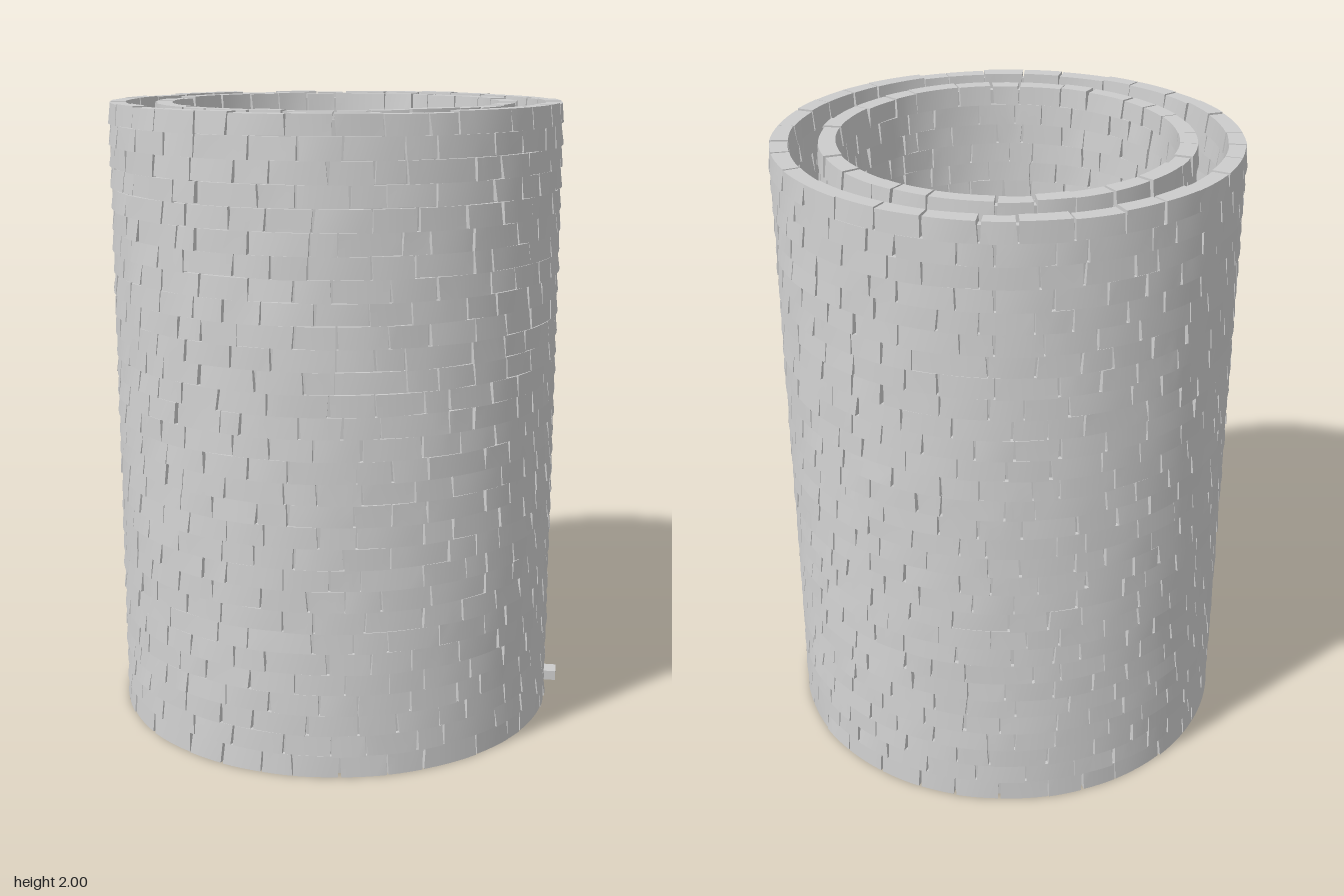
import * as THREE from 'three';
import { mergeGeometries, toCreasedNormals } from 'three/addons/utils/BufferGeometryUtils.js';

const CENTER_X = -0.02;
const HEIGHT = 2;
const COURSES = 30;

// Small seeded random generator
function makeRandom(seed) {
  return () => {
    seed = (seed * 1664525 + 1013904223) % 4294967296;
    return seed / 4294967296;
  };
}

// One curved brick with uneven corners, its lower edge jutting over the course below
function makeBrick(a0, a1, y0, y1, rIn, rOut, isBottom, rnd) {
  const geo = new THREE.BoxGeometry(1, 1, 1, 4, 1, 1);
  const pos = geo.attributes.position;
  const low = () => rnd() * 0.004;
  const high = () => -0.002 - rnd() * 0.005;
  const bump = [low(), low(), high(), high()];
  const gap = () => (0.001 + 0.007 * rnd() ** 2) / rOut;
  const left = [gap(), gap()], right = [gap(), gap()];
  const lift = () => (isBottom ? 0 : 0.005 * rnd() ** 2);
  const bottom = [lift(), lift()];
  const mix = THREE.MathUtils.lerp;
  for (let i = 0; i < pos.count; i++) {
    const u = pos.getX(i) + 0.5, v = pos.getY(i) + 0.5;
    const angle = mix(a0 + mix(left[0], left[1], v), a1 - mix(right[0], right[1], v), u);
    const y = mix(y0 + mix(bottom[0], bottom[1], u), y1, v);
    const b = mix(mix(bump[0], bump[1], u), mix(bump[2], bump[3], u), v);
    const r = pos.getZ(i) > 0 ? rOut + b : rIn - b;
    pos.setXYZ(i, r * Math.sin(angle), y, r * Math.cos(angle));
  }
  return geo;
}

// A ring wall laid in staggered courses
function makeBricks(rIn, rOut, perCourse, seed) {
  const rnd = makeRandom(seed);
  const bricks = [];
  const step = (Math.PI * 2) / perCourse;
  const h = HEIGHT / COURSES;
  for (let row = 0; row < COURSES; row++) {
    const start = (row % 2) * step * 0.5;
    const joints = [];
    for (let i = 0; i < perCourse; i++) joints.push(start + step * (i + (rnd() - 0.5) * 0.6));
    joints.push(joints[0] + Math.PI * 2);
    for (let i = 0; i < perCourse; i++) {
      const top = (row + 1) * h - (row === COURSES - 1 ? 0.006 * rnd() : 0);
      bricks.push(makeBrick(joints[i], joints[i + 1], row * h, top, rIn, rOut, row === 0, rnd));
    }
  }
  return toCreasedNormals(mergeGeometries(bricks), 0.4);
}

// Recessed ring closing the joints
function makeCore(rIn, rOut) {
  const a = rIn + 0.018, b = rOut - 0.018, y0 = 0.004, y1 = HEIGHT - 0.02;
  const outline = [[a, y0], [b, y0], [b, y1], [a, y1], [a, y0]];
  const points = outline.map(([r, y]) => new THREE.Vector2(r, y));
  return toCreasedNormals(new THREE.LatheGeometry(points, 96), 0.4);
}

export function createModel() {
  const stone = new THREE.MeshStandardMaterial({ color: 0xcccccc });
  stone.name = 'light grey stone';

  const model = new THREE.Group();
  model.name = 'doubleBrickCylinder';

  // Two concentric brick walls
  const walls = [
    ['outerWall', 0.662, 0.722, 32, 11],
    ['innerWall', 0.518, 0.578, 28, 47],
  ];
  for (const [name, rIn, rOut, count, seed] of walls) {
    const wall = new THREE.Group();
    wall.name = name;
    wall.position.x = CENTER_X;
    const bricks = new THREE.Mesh(makeBricks(rIn, rOut, count, seed), stone);
    bricks.name = name + 'Bricks';
    const core = new THREE.Mesh(makeCore(rIn, rOut), stone);
    core.name = name + 'Core';
    wall.add(bricks, core);
    model.add(wall);
  }

  // Stone tie passing through both walls near the base: x from, x to, half width
  const tie = new THREE.Group();
  tie.name = 'stoneTie';
  const blocks = [
    [0.468, 0.553, 0.030],
    [0.555, 0.593, 0.026],
    [0.595, 0.650, 0.025],
    [0.652, 0.740, 0.029],
  ];
  for (const [x0, x1, half] of blocks) {
    const block = new THREE.Mesh(new THREE.BoxGeometry(x1 - x0, 0.032, half * 2), stone);
    block.name = 'tieBlock';
    block.position.set((x0 + x1) / 2, 0.075, 0);
    tie.add(block);
  }
  model.add(tie);

  return model;
}
